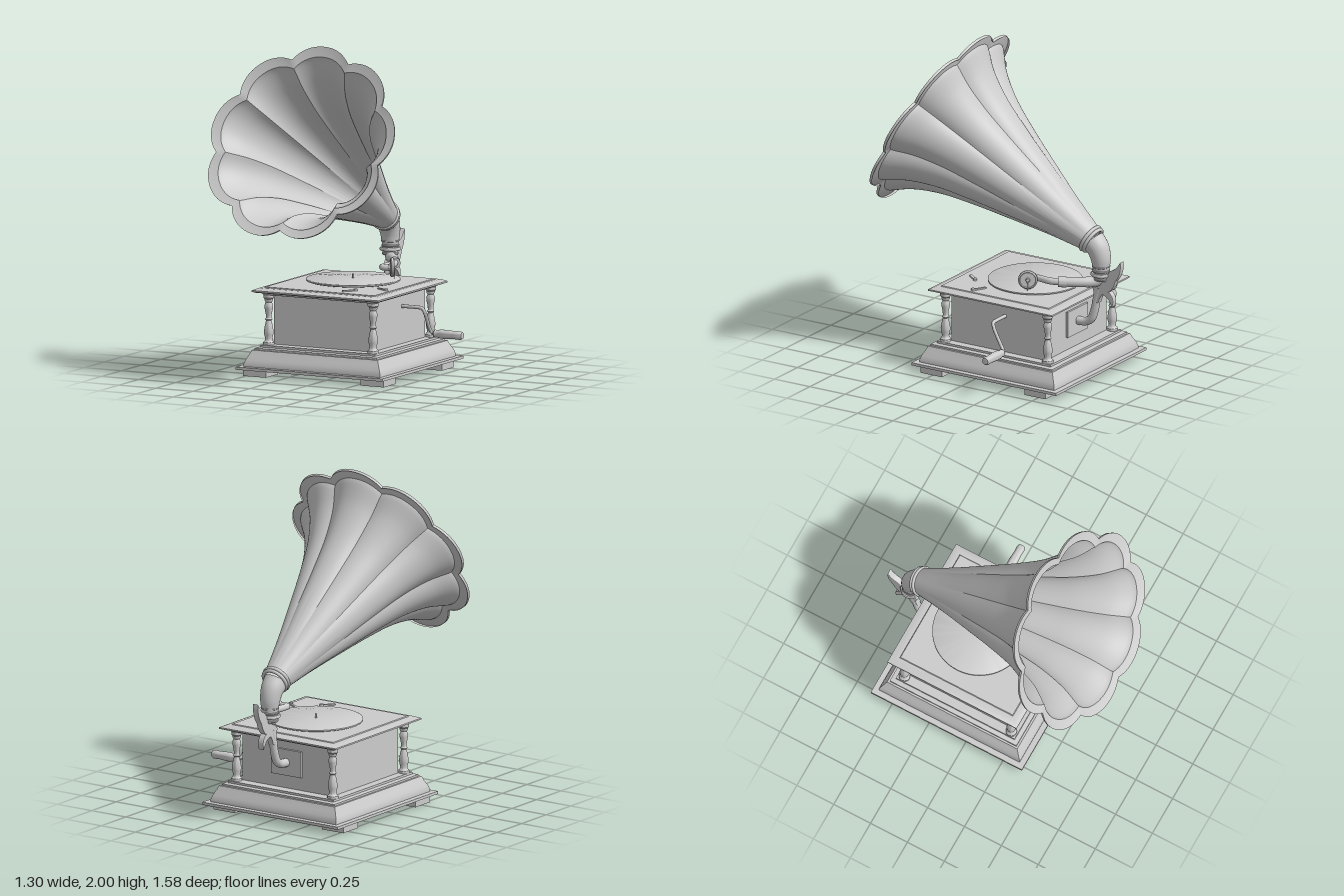
import * as THREE from 'three';
import { toCreasedNormals } from 'three/addons/utils/BufferGeometryUtils.js';

const V = (x, y, z) => new THREE.Vector3(x, y, z);
const grey = new THREE.MeshStandardMaterial({ color: 0xcccccc });
const thin = new THREE.MeshStandardMaterial({ color: 0xcccccc, side: THREE.DoubleSide });
const CX = -0.045, CZ = -0.125; // cabinet centre

// Skin over a list of closed rings, each counter-clockwise about the direction of travel
function loft(rings, { caps = true, crease = 0.6 } = {}) {
  const n = rings[0].length, index = [];
  for (let i = 0; i < rings.length - 1; i++) {
    for (let j = 0; j < n; j++) {
      const k = (j + 1) % n;
      const a = i * n + j, b = i * n + k, c = b + n, d = a + n;
      index.push(a, b, c, a, c, d);
    }
  }
  if (caps) {
    const e = (rings.length - 1) * n;
    for (let j = 1; j < n - 1; j++) index.push(0, j + 1, j, e, e + j, e + j + 1);
  }
  const g = new THREE.BufferGeometry().setFromPoints(rings.flat());
  g.setIndex(index);
  return toCreasedNormals(g, crease);
}

// Rectangular moulding from a profile of [half width, y]
function moulding(profile, extraZ) {
  const corners = [[1, 1], [1, -1], [-1, -1], [-1, 1]];
  return loft(profile.map(([w, y]) => corners.map(([sx, sz]) => V(CX + sx * w, y, CZ + sz * (w + extraZ)))));
}

// Round tube along a smooth path, radius interpolated between the given values
function taperTube(points, radii, steps = 28, sides = 20) {
  const curve = new THREE.CatmullRomCurve3(points);
  const { normals, binormals } = curve.computeFrenetFrames(steps);
  const rings = [];
  for (let i = 0; i <= steps; i++) {
    const f = (i / steps) * (radii.length - 1), k = Math.min(Math.floor(f), radii.length - 2);
    const r = THREE.MathUtils.lerp(radii[k], radii[k + 1], f - k);
    const p = curve.getPointAt(i / steps);
    rings.push(Array.from({ length: sides }, (_, j) => {
      const a = (j / sides) * Math.PI * 2;
      return p.clone().addScaledVector(normals[i], r * Math.cos(a)).addScaledVector(binormals[i], r * Math.sin(a));
    }));
  }
  return loft(rings);
}

const lathe = (profile, sides = 24) =>
  toCreasedNormals(new THREE.LatheGeometry(profile.map(([r, y]) => new THREE.Vector2(r, y)), sides), 0.7);

export function createModel() {
  const model = new THREE.Group();
  const add = (name, geometry, pos = [0, 0, 0], parent = model, material = grey) => {
    const mesh = new THREE.Mesh(geometry, material);
    mesh.name = name;
    mesh.position.set(...pos);
    parent.add(mesh);
    return mesh;
  };
  const box = (name, w, h, d, pos) => add(name, new THREE.BoxGeometry(w, h, d), pos);

  // Cabinet
  add('plinth', moulding([
    [0.495, 0.043], [0.495, 0.06], [0.46, 0.06], [0.46, 0.075], [0.452, 0.1], [0.436, 0.13], [0.424, 0.157],
    [0.412, 0.157], [0.412, 0.168], [0.385, 0.172], [0.385, 0.185], [0.33, 0.185],
  ], 0.017));
  box('cabinetBody', 0.66, 0.32, 0.67, [CX, 0.335, CZ]);
  add('lid', moulding([
    [0.36, 0.483], [0.375, 0.486], [0.382, 0.495], [0.41, 0.5], [0.426, 0.506], [0.426, 0.515],
    [0.395, 0.528], [0.372, 0.528], [0.368, 0.533],
  ], 0.012));

  // Feet and corner balusters
  const baluster = lathe([
    [0, 0.18], [0.033, 0.18], [0.033, 0.2], [0.024, 0.208], [0.021, 0.222], [0.027, 0.245], [0.029, 0.265],
    [0.023, 0.3], [0.016, 0.33], [0.022, 0.338], [0.016, 0.347], [0.018, 0.37], [0.025, 0.405], [0.026, 0.42],
    [0.018, 0.44], [0.025, 0.45], [0.025, 0.46], [0.032, 0.468], [0.032, 0.486], [0, 0.486],
  ]);
  for (const sx of [-1, 1]) {
    for (const sz of [-1, 1]) {
      box('foot', 0.155, 0.046, 0.15, [CX + sx * 0.397, 0.023, -0.108 + sz * 0.367]);
      add('baluster', baluster, [CX + sx * 0.352, 0, CZ + sz * 0.362]);
    }
  }

  // Turntable, spindle and brake levers
  add('turntable', lathe([[0, 0.54], [0.272, 0.54], [0.282, 0.544], [0.282, 0.552], [0.276, 0.555], [0, 0.555]], 64), [CX, 0, -0.17]);
  add('turntableHub', new THREE.CylinderGeometry(0.05, 0.05, 0.012, 32), [CX, 0.536, -0.17]);
  add('spindle', new THREE.CylinderGeometry(0.006, 0.006, 0.03, 12), [CX, 0.566, -0.17]);
  for (const [x, z, turn] of [[0.11, 0.17, 0.9], [0.26, 0.03, -0.5]]) {
    const lever = new THREE.Group();
    lever.name = 'brakeLever';
    lever.position.set(x, 0.537, z);
    lever.rotation.y = turn;
    add('leverBar', new THREE.BoxGeometry(0.09, 0.008, 0.016), [0, 0, 0], lever);
    add('leverKnob', new THREE.CylinderGeometry(0.012, 0.012, 0.014, 16), [0.04, 0.002, 0], lever);
    model.add(lever);
  }

  // Crank on the side
  add('crankRod', taperTube([
    V(0.27, 0.41, -0.17), V(0.38, 0.41, -0.17), V(0.415, 0.407, -0.172), V(0.428, 0.385, -0.182),
    V(0.432, 0.28, -0.238), V(0.437, 0.255, -0.254), V(0.455, 0.245, -0.26), V(0.5, 0.245, -0.26),
  ], [0.011, 0.011], 48, 12));
  add('crankHandle', lathe([
    [0, 0], [0.02, 0], [0.024, 0.008], [0.02, 0.018], [0.026, 0.04], [0.028, 0.08],
    [0.024, 0.14], [0.026, 0.175], [0.02, 0.19], [0, 0.192],
  ]), [0.453, 0.245, -0.26]).rotation.z = -Math.PI / 2;

  // Scalloped horn: nine petals that deepen toward the mouth
  const horn = new THREE.Group();
  horn.name = 'horn';
  horn.position.set(-0.04, 1.457, 0.506);
  horn.rotation.x = -0.496;
  model.add(horn);
  const PETALS = 9, PER = 16;
  const flare = new THREE.CatmullRomCurve3([
    V(0.077, -1.235, 0), V(0.138, -1.0, 0), V(0.213, -0.75, 0), V(0.292, -0.5, 0),
    V(0.37, -0.29, 0), V(0.46, -0.13, 0), V(0.55, -0.025, 0),
  ]).getPoints(42).map(p => [p.x, p.y]);
  const profile = [...flare, [0.556, -0.014], [0.587, -0.008], [0.617, 0], [0.613, -0.016]];
  add('hornBell', loft(profile.map(([r, t]) => {
    const depth = 0.105 * Math.pow(THREE.MathUtils.clamp((t + 1.235) / 1.1, 0, 1), 0.7);
    return Array.from({ length: PETALS * PER }, (_, j) => {
      const a = (j / (PETALS * PER)) * Math.PI * 2 + Math.PI / 2;
      const phase = ((j + PER / 2) % PER) / PER * 2 - 1; // -1..1 across a petal
      const s = r * (1 - depth * Math.pow(Math.abs(phase), 2.2));
      return V(s * Math.cos(a), s * Math.sin(a), t);
    });
  }), { caps: false, crease: 0.4 }), [0, 0, 0], horn, thin);
  for (const [t, r] of [[-1.235, 0.079], [-1.215, 0.083]]) {
    add('hornCollar', new THREE.TorusGeometry(r, 0.011, 10, 40), [0, 0, t], horn);
  }

  // Elbow below the horn with its rings
  add('elbow', taperTube([
    V(CX, 0.64, -0.637), V(CX, 0.71, -0.637), V(CX, 0.77, -0.634), V(CX, 0.825, -0.615), V(CX, 0.87, -0.575),
  ], [0.046, 0.05, 0.06, 0.068, 0.075], 28, 28));
  for (const [y, r, h] of [[0.642, 0.05, 0.018], [0.669, 0.064, 0.02], [0.69, 0.054, 0.014], [0.718, 0.055, 0.012]]) {
    add('elbowRing', lathe([[0, -h / 2], [r - 0.005, -h / 2], [r, -h / 5], [r, h / 5], [r - 0.005, h / 2], [0, h / 2]], 32), [CX, y, -0.637]);
  }

  // Tone arm and sound box
  add('toneArm', taperTube([
    V(CX, 0.65, -0.637), V(-0.03, 0.625, -0.615), V(0.03, 0.62, -0.545), V(0.095, 0.62, -0.435),
  ], [0.036, 0.03, 0.027], 24, 18));
  add('toneArmJoint', taperTube([V(0.075, 0.62, -0.469), V(0.1, 0.62, -0.427)], [0.032, 0.032], 2, 20));
  add('gooseneck', taperTube([
    V(0.09, 0.62, -0.44), V(0.112, 0.62, -0.38), V(0.105, 0.62, -0.3), V(0.108, 0.62, -0.25), V(0.155, 0.62, -0.253),
  ], [0.021, 0.02, 0.018], 30, 16));
  const soundBox = add('soundBox', lathe([
    [0, -0.022], [0.02, -0.022], [0.024, -0.012], [0.052, -0.01], [0.058, -0.004], [0.058, 0.008],
    [0.05, 0.013], [0.046, 0.008], [0.014, 0.008], [0.01, 0.014], [0, 0.014],
  ], 32), [0.17, 0.622, -0.257]);
  soundBox.quaternion.setFromUnitVectors(V(0, 1, 0), V(0.85, 0, -0.53).normalize());
  add('needle', new THREE.CylinderGeometry(0.004, 0.002, 0.06, 8), [0.183, 0.582, -0.262]);

  // Back bracket with leaf-shaped carrier
  box('backPlate', 0.22, 0.16, 0.016, [CX, 0.345, -0.466]);
  add('bracketArm', taperTube([
    V(CX, 0.345, -0.46), V(CX, 0.35, -0.53), V(CX, 0.375, -0.568), V(CX, 0.43, -0.59), V(CX, 0.51, -0.608), V(CX, 0.58, -0.63),
  ], [0.026, 0.025, 0.022], 32, 16));
  const leaf = new THREE.Shape();
  leaf.moveTo(0.585, 0.49);
  leaf.quadraticCurveTo(0.61, 0.54, 0.588, 0.58);
  leaf.quadraticCurveTo(0.62, 0.625, 0.68, 0.625);
  leaf.quadraticCurveTo(0.695, 0.7, 0.735, 0.71);
  leaf.quadraticCurveTo(0.76, 0.725, 0.783, 0.765);
  leaf.quadraticCurveTo(0.785, 0.69, 0.745, 0.645);
  leaf.quadraticCurveTo(0.73, 0.59, 0.698, 0.57);
  leaf.quadraticCurveTo(0.74, 0.54, 0.725, 0.485);
  leaf.quadraticCurveTo(0.7, 0.54, 0.655, 0.55);
  leaf.quadraticCurveTo(0.635, 0.53, 0.625, 0.49);
  leaf.closePath();
  const leafMesh = add('bracketLeaf', new THREE.ExtrudeGeometry(leaf, {
    depth: 0.028, bevelEnabled: true, bevelSize: 0.004, bevelThickness: 0.006, bevelSegments: 2, curveSegments: 8,
  }), [CX + 0.014, 0, 0]);
  leafMesh.rotation.y = Math.PI / 2;
  leafMesh.position.x = CX - 0.014;

  return model;
}
